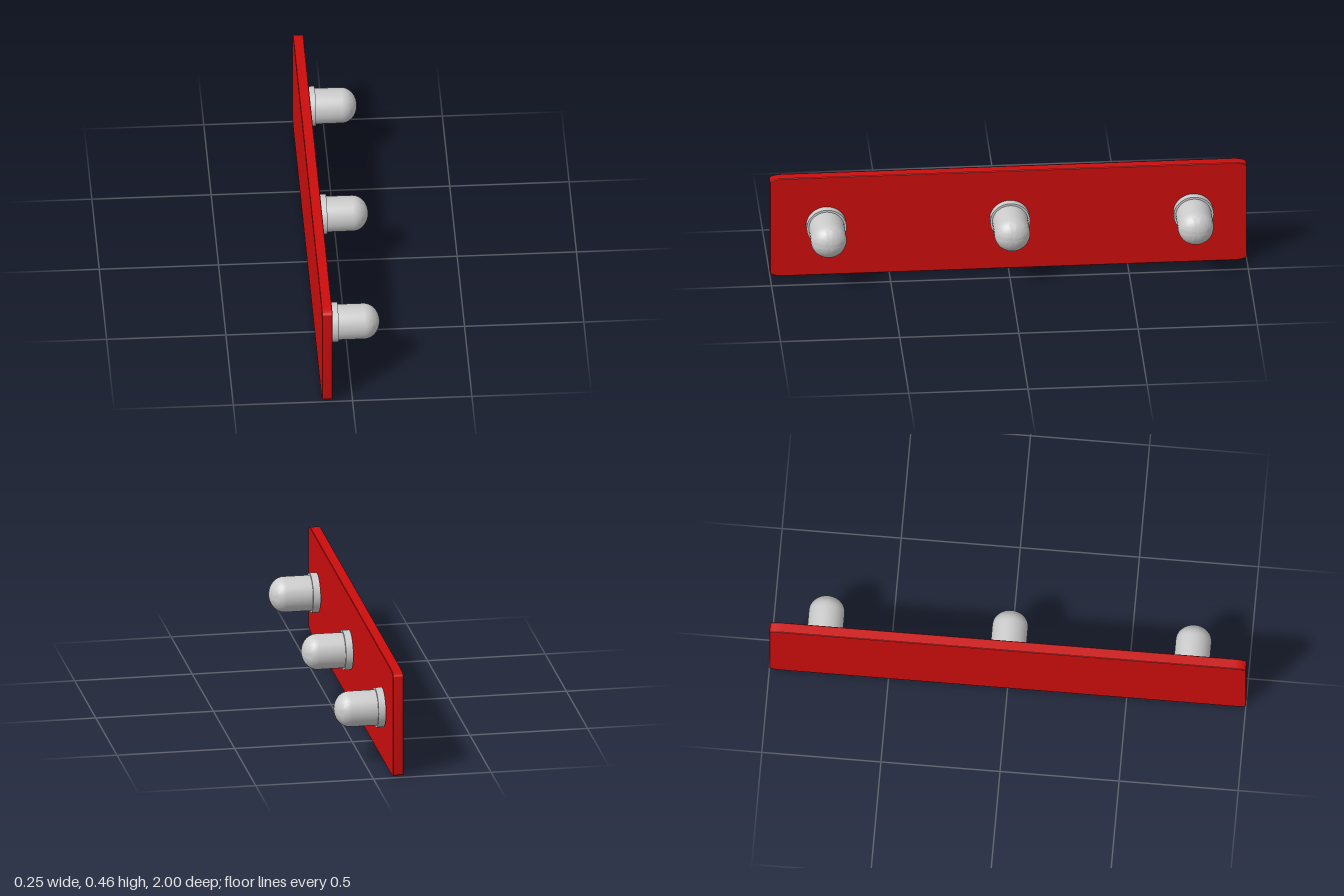
import * as THREE from 'three';
import { toCreasedNormals } from 'three/addons/utils/BufferGeometryUtils.js';

const red = new THREE.MeshStandardMaterial({ color: 0xcc0d0d });
const grey = new THREE.MeshStandardMaterial({ color: 0xcccccc });

// Upright board with shallow elliptical corners and a fine bevel
function createBoard() {
  const bevel = 0.002, w = 1 - bevel, bottom = 0.001 + bevel, top = 0.461 - bevel;
  const rz = 0.055, ry = 0.015;
  const s = new THREE.Shape();
  s.moveTo(-w + rz, bottom);
  s.lineTo(w - rz, bottom);
  s.absellipse(w - rz, bottom + ry, rz, ry, -Math.PI / 2, 0);
  s.absellipse(w - rz, top - ry, rz, ry, 0, Math.PI / 2);
  s.absellipse(-w + rz, top - ry, rz, ry, Math.PI / 2, Math.PI);
  s.absellipse(-w + rz, bottom + ry, rz, ry, Math.PI, Math.PI * 1.5);
  const g = new THREE.ExtrudeGeometry(s, {
    depth: 0.044 - 2 * bevel, bevelSize: bevel, bevelThickness: bevel, bevelSegments: 1, curveSegments: 8,
  });
  g.rotateY(Math.PI / 2);
  g.translate(-0.128 + bevel, 0, 0);
  const board = new THREE.Mesh(toCreasedNormals(g, 0.5), red);
  board.name = 'board';
  return board;
}

// Bulb profile along its axis: flange, straight body, rounded dome
function createBulbGeometry() {
  const r = 0.075, shoulder = 0.062, tip = 0.127;
  const pts = [[0, -0.079], [0.084, -0.079], [0.084, -0.048], [r, -0.048]];
  for (let i = 0; i <= 10; i++) {
    const a = (i / 10) * Math.PI / 2;
    pts.push([i === 10 ? 0 : r * Math.cos(a), shoulder + (tip - shoulder) * Math.sin(a)]);
  }
  const g = new THREE.LatheGeometry(pts.map(([x, y]) => new THREE.Vector2(x, y)), 40);
  g.rotateZ(-Math.PI / 2);
  return toCreasedNormals(g, 0.6);
}

export function createModel() {
  const model = new THREE.Group();
  model.name = 'lightBoard';
  model.add(createBoard());

  const bulbGeometry = createBulbGeometry();
  const leadGeometry = new THREE.BoxGeometry(0.014, 0.013, 0.013);

  // Three bulbs, each on a pair of short leads
  for (const z of [0.765, -0.005, -0.775]) {
    const light = new THREE.Group();
    light.name = 'light';
    light.position.set(0, 0.24, z);
    const bulb = new THREE.Mesh(bulbGeometry, grey);
    bulb.name = 'bulb';
    light.add(bulb);
    for (const side of [-1, 1]) {
      const lead = new THREE.Mesh(leadGeometry, red);
      lead.name = 'lead';
      lead.position.set(-0.083, 0, side * 0.03);
      light.add(lead);
    }
    model.add(light);
  }
  return model;
}
